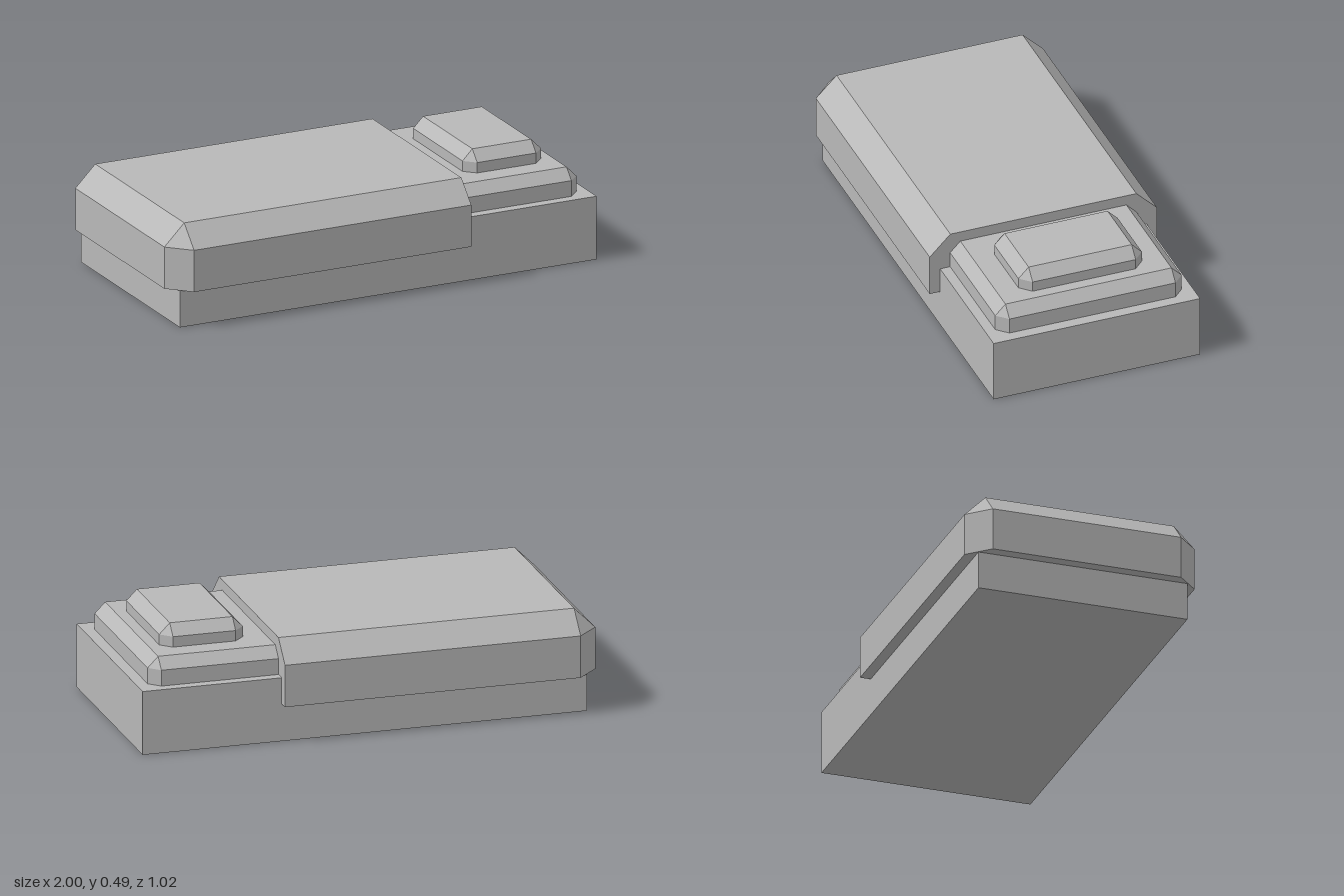
import * as THREE from 'three';
import { ConvexGeometry } from 'three/addons/geometries/ConvexGeometry.js';

// Block with chamfered upright corners and a bevelled top edge.
// openEnd leaves the +x end cut square.
function bevelledBlock({ x0, x1, halfZ, y0, yBevel, y1, bevel, openEnd = false }) {
  const points = [];
  const right = openEnd ? x1 : x1 - bevel;
  for (const s of [-1, 1]) {
    const zIn = s * (halfZ - bevel);
    for (const y of [y0, yBevel]) {
      points.push(
        new THREE.Vector3(x0, y, zIn),
        new THREE.Vector3(x0 + bevel, y, s * halfZ),
        new THREE.Vector3(right, y, s * halfZ));
      if (!openEnd) points.push(new THREE.Vector3(x1, y, zIn));
    }
    points.push(
      new THREE.Vector3(x0 + bevel, y1, zIn),
      new THREE.Vector3(right, y1, zIn));
  }
  return new ConvexGeometry(points);
}

export function createModel() {
  const group = new THREE.Group();
  const grey = new THREE.MeshStandardMaterial({ color: 0xb8b8b8 });
  grey.name = 'plain grey';

  const add = (name, geometry) => {
    const mesh = new THREE.Mesh(geometry, grey);
    mesh.name = name;
    group.add(mesh);
    return mesh;
  };

  // Solid bed base
  add('bedBase', new THREE.BoxGeometry(1.95, 0.28, 0.93)).position.set(0.025, 0.14, 0);

  // Mattress resting on the base, running under the blanket
  add('mattress', bevelledBlock({
    x0: -0.9, x1: 0.95, halfZ: 0.42, y0: 0.28, yBevel: 0.35, y1: 0.397, bevel: 0.046,
  }));

  // Blanket draped over the foot end, cut square towards the pillow
  add('blanket', bevelledBlock({
    x0: -1, x1: 0.39, halfZ: 0.512, y0: 0.165, yBevel: 0.35, y1: 0.443, bevel: 0.093, openEnd: true,
  }));

  // Pillow at the head end
  add('pillow', bevelledBlock({
    x0: 0.488, x1: 0.855, halfZ: 0.278, y0: 0.397, yBevel: 0.443, y1: 0.49, bevel: 0.046,
  }));

  return group;
}
